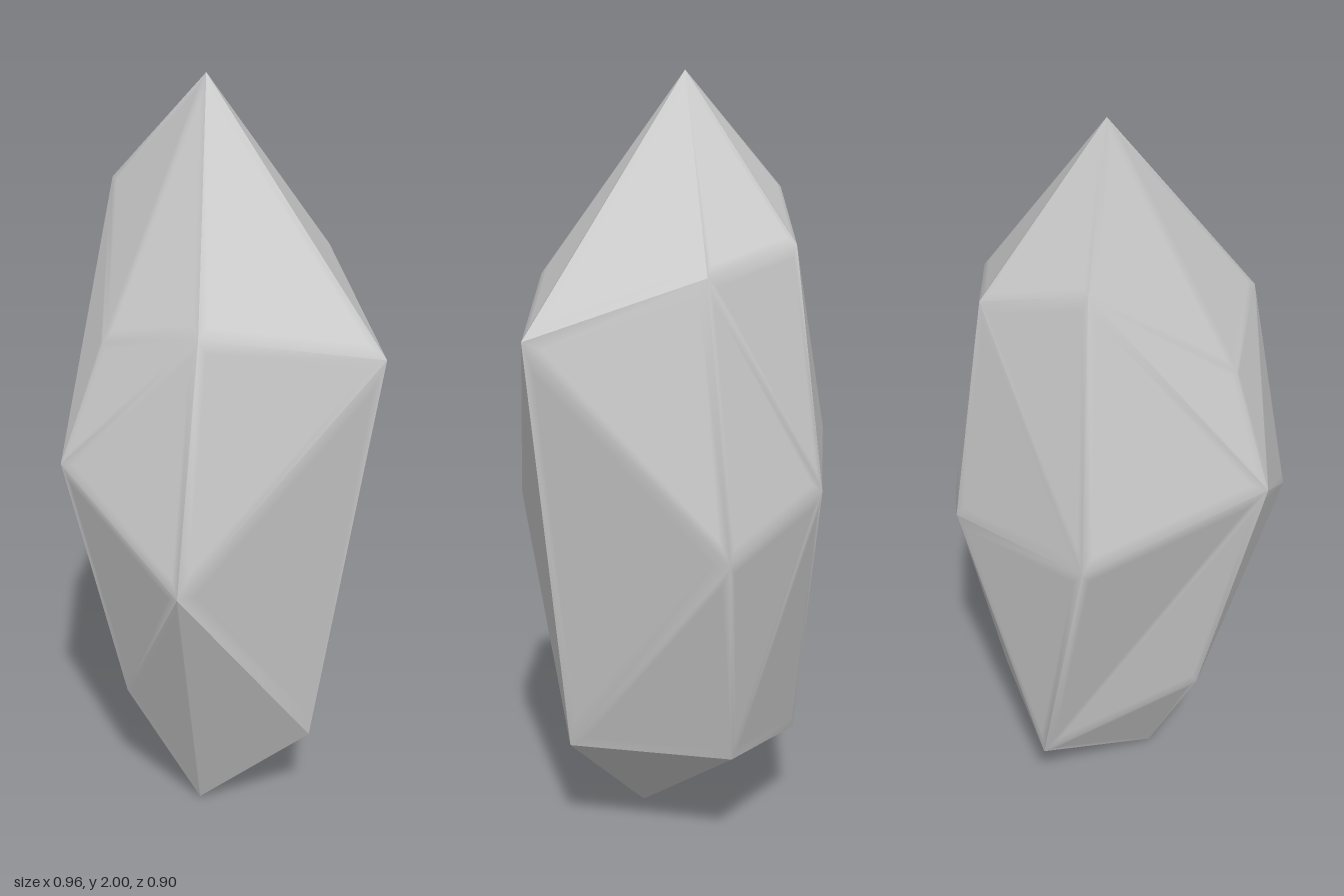
import * as THREE from 'three';
import { toCreasedNormals } from 'three/addons/utils/BufferGeometryUtils.js';

// Corners of the crystal: upper (u), middle (m) and lower (l) rings plus two tips
const P = {
  top: [-0.02, 2, 0], tip: [0.045, 0, 0.115],
  uA: [-0.32, 1.7, 0.01], uF: [-0.08, 1.39, 0.33], uE: [0.225, 1.47, 0.34],
  uC: [0.12, 1.52, -0.34], uB: [-0.175, 1.58, -0.28],
  mA: [-0.48, 1.03, 0.02], mF: [-0.14, 1.09, 0.43], mE: [0.245, 0.845, 0.45],
  mD: [0.48, 1.36, -0.07], mC: [0.12, 0.84, -0.45], mB: [-0.21, 0.965, -0.36],
  lA: [-0.29, 0.235, -0.13], lF: [-0.085, 0.375, 0.265],
  lD: [0.33, 0.265, 0], lC: [0.02, 0.27, -0.305],
};

// Facets, counter-clockwise from outside; quads fold along their first corner's diagonal
const FACETS = [
  // crown
  'top uA uF', 'top uF uE', 'top uE mD', 'top mD uC', 'top uC uB', 'top uB uA',
  // upper sides
  'uA mA mF uF', 'mF mE uE uF', 'uE mE mD', 'mD mC uC', 'uC mC mB uB', 'uB mB mA uA',
  // lower sides
  'mF mA lA lF', 'lF tip mE mF', 'mE tip lD', 'mE lD mD', 'lD lC mC mD', 'lC lA mB mC', 'mB lA mA',
  // base
  'lF lA tip', 'lD tip lC', 'lC tip lA',
];

// Splits a triangle into a flat core and a narrow rim, so shallow edges blend softly
function addTriangle(out, corners) {
  const centre = new THREE.Vector3();
  corners.forEach((c) => centre.addScaledVector(c, 1 / 3));
  const core = corners.map((c) => c.clone().lerp(centre, 0.15));
  out.push(...core);
  for (let i = 0; i < 3; i++) {
    const j = (i + 1) % 3;
    out.push(corners[i], corners[j], core[j], corners[i], core[j], core[i]);
  }
}

export function createModel() {
  const points = [];
  for (const facet of FACETS) {
    const c = facet.split(' ').map((k) => new THREE.Vector3(...P[k]));
    // the lower front-left quad folds from its second-last corner
    if (facet === 'mF mA lA lF') {
      addTriangle(points, [c[0], c[1], c[2]]);
      addTriangle(points, [c[0], c[2], c[3]]);
      continue;
    }
    for (let i = 1; i < c.length - 1; i++) addTriangle(points, [c[0], c[i], c[i + 1]]);
  }
  // lF-mE diagonal and the other folds come from the corner order above
  const geometry = toCreasedNormals(new THREE.BufferGeometry().setFromPoints(points), 0.5);

  const crystal = new THREE.Mesh(
    geometry,
    new THREE.MeshStandardMaterial({ color: 0xcccccc }),
  );
  crystal.name = 'crystal';

  const group = new THREE.Group();
  group.name = 'crystalShard';
  group.add(crystal);
  return group;
}
